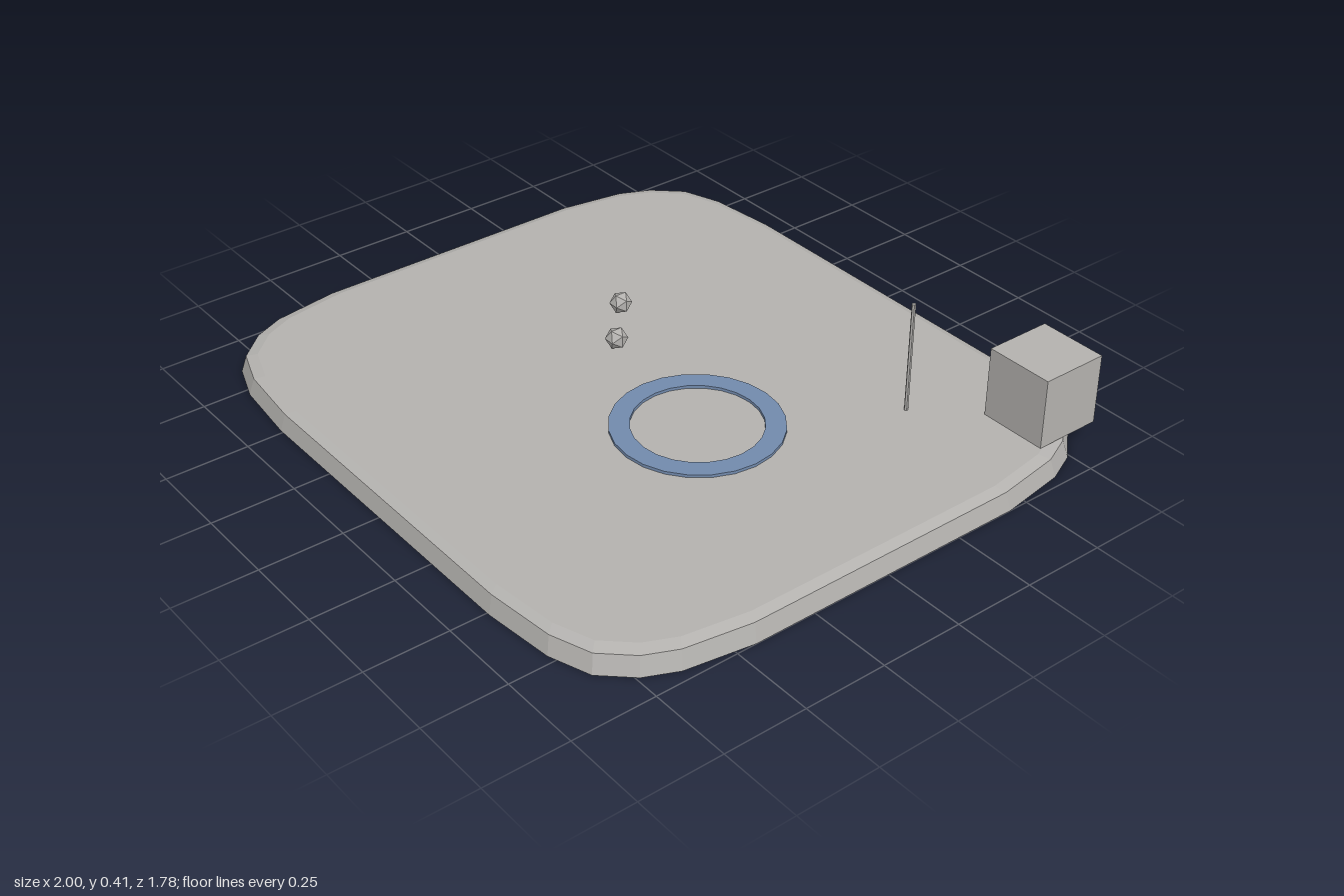
import * as THREE from 'three';

const flat = (g) => {
  const f = g.index ? g.toNonIndexed() : g;
  f.computeVertexNormals();
  return f;
};

// Rounded slab: one corner outline mirrored to four, stacked in three loops
function slabGeometry() {
  const corner = [[1, 0.44], [0.968, 0.645], [0.925, 0.74], [0.847, 0.825], [0.725, 0.868], [0.51, 0.89]];
  const outline = [];
  for (const [sx, sz] of [[1, 1], [-1, 1], [-1, -1], [1, -1]]) {
    const pts = sx * sz > 0 ? corner : [...corner].reverse();
    for (const [x, z] of pts) outline.push([x * sx, z * sz]);
  }
  const levels = [[0, 1], [0.054, 0.985], [0.064, 0.955]]; // height, scale
  const n = outline.length;
  const at = (l, i) => {
    const [y, s] = levels[l];
    const [x, z] = outline[i % n];
    return [x * s, y, z * s];
  };
  const pos = [];
  for (let i = 0; i < n; i++) {
    for (let l = 0; l < 2; l++) {
      const a = at(l, i), b = at(l, i + 1), c = at(l + 1, i + 1), d = at(l + 1, i);
      pos.push(...a, ...d, ...c, ...a, ...c, ...b);
    }
    pos.push(0, 0.064, 0, ...at(2, i + 1), ...at(2, i));
    pos.push(0, 0, 0, ...at(0, i), ...at(0, i + 1));
  }
  const g = new THREE.BufferGeometry();
  g.setAttribute('position', new THREE.Float32BufferAttribute(pos, 3));
  return flat(g);
}

export function createModel() {
  const group = new THREE.Group();
  const grey = new THREE.MeshStandardMaterial({ color: 0xb3b1ae });
  grey.name = 'warm grey';
  const blue = new THREE.MeshStandardMaterial({ color: 0x7189ab });
  blue.name = 'dusty blue';

  const add = (name, geometry, material, x = 0, y = 0, z = 0) => {
    const mesh = new THREE.Mesh(geometry, material);
    mesh.name = name;
    mesh.position.set(x, y, z);
    group.add(mesh);
    return mesh;
  };

  add('ground', slabGeometry(), grey);

  // Flat ring lying on the ground
  const profile = [[0.187, 0], [0.246, 0], [0.246, 0.009], [0.187, 0.009], [0.187, 0]]
    .map(([r, y]) => new THREE.Vector2(r, y));
  add('ring', flat(new THREE.LatheGeometry(profile, 24)), blue, 0.255, 0.064, 0.02);

  // Block at the back corner
  add('block', new THREE.BoxGeometry(0.21, 0.215, 0.21), grey, 0.805, 0.1715, -0.745);

  // Thin upright pole
  add('pole', flat(new THREE.CylinderGeometry(0.006, 0.006, 0.343, 6)), grey, 0.55, 0.2345, -0.485);

  // Two faceted stones
  for (const [x, z] of [[-0.345, -0.175], [-0.195, -0.045]]) {
    add('stone', new THREE.IcosahedronGeometry(0.034, 0), grey, x, 0.1, z).rotation.y = Math.PI / 2;
  }
  return group;
}
